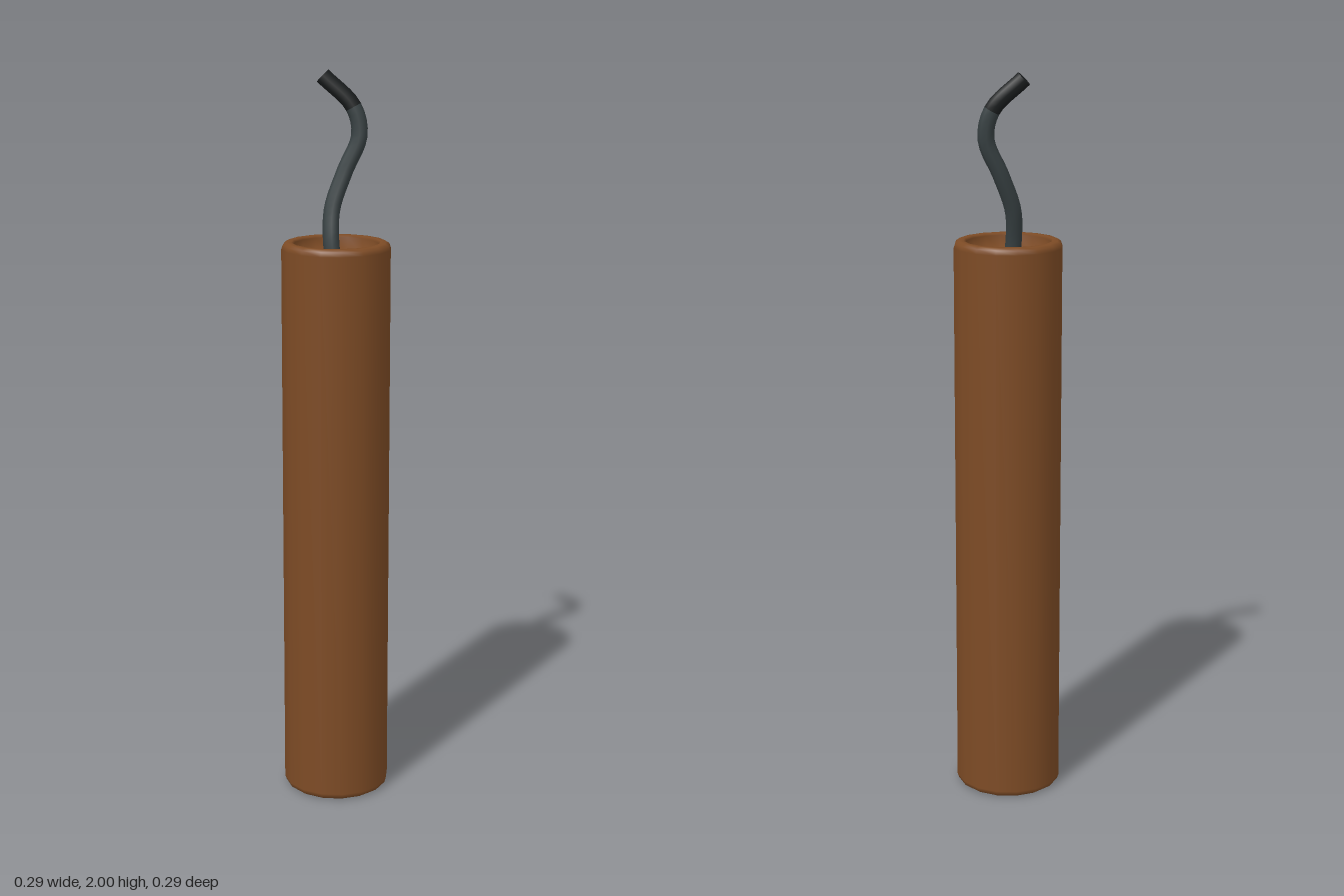
import * as THREE from 'three';

export function createModel() {
  const group = new THREE.Group();
  const material = (name, color) => {
    const m = new THREE.MeshStandardMaterial({ color });
    m.name = name;
    return m;
  };
  const casing = material('brown casing', 0x7d4b25);
  const cord = material('grey cord', 0x384143);
  const burnt = material('burnt cord', 0x1a1d1e);

  // Sixteen-sided tube with softened rims and a recess at each end
  const profile = [
    [0, 0.05], [0.114, 0.05], [0.114, 0.008], [0.12, 0.002], [0.134, 0.002], [0.143, 0.008], [0.147, 0.02],
    [0.147, 1.54], [0.143, 1.552], [0.134, 1.558], [0.12, 1.558], [0.114, 1.552], [0.114, 1.51], [0, 1.51],
  ].map(([r, y]) => new THREE.Vector2(r, y - 0.002));
  const body = new THREE.Mesh(new THREE.LatheGeometry(profile, 16), casing);
  body.name = 'casing';
  group.add(body);

  // Wavy fuse, its last stretch burnt
  const path = new THREE.CatmullRomCurve3([
    [0, 1.5, -0.01], [0.003, 1.56, -0.02], [0.022, 1.64, -0.031], [0.06, 1.735, -0.019],
    [0.094, 1.83, 0.004], [0.088, 1.905, -0.012], [0.044, 1.985, -0.081],
  ].map(p => new THREE.Vector3(...p)));
  const segments = 28, sides = 8, radius = 0.022, burntFrom = 22;
  const tube = new THREE.TubeGeometry(path, segments, radius, sides);
  tube.addGroup(0, burntFrom * sides * 6, 0);
  tube.addGroup(burntFrom * sides * 6, (segments - burntFrom) * sides * 6, 1);
  const fuse = new THREE.Mesh(tube, [cord, burnt]);
  fuse.name = 'fuse';
  group.add(fuse);

  // Flat end of the fuse
  const tip = new THREE.Mesh(new THREE.CircleGeometry(radius, sides), burnt);
  tip.name = 'fuseTip';
  tip.position.copy(path.getPointAt(1));
  tip.quaternion.setFromUnitVectors(new THREE.Vector3(0, 0, 1), path.getTangentAt(1));
  group.add(tip);

  return group;
}
